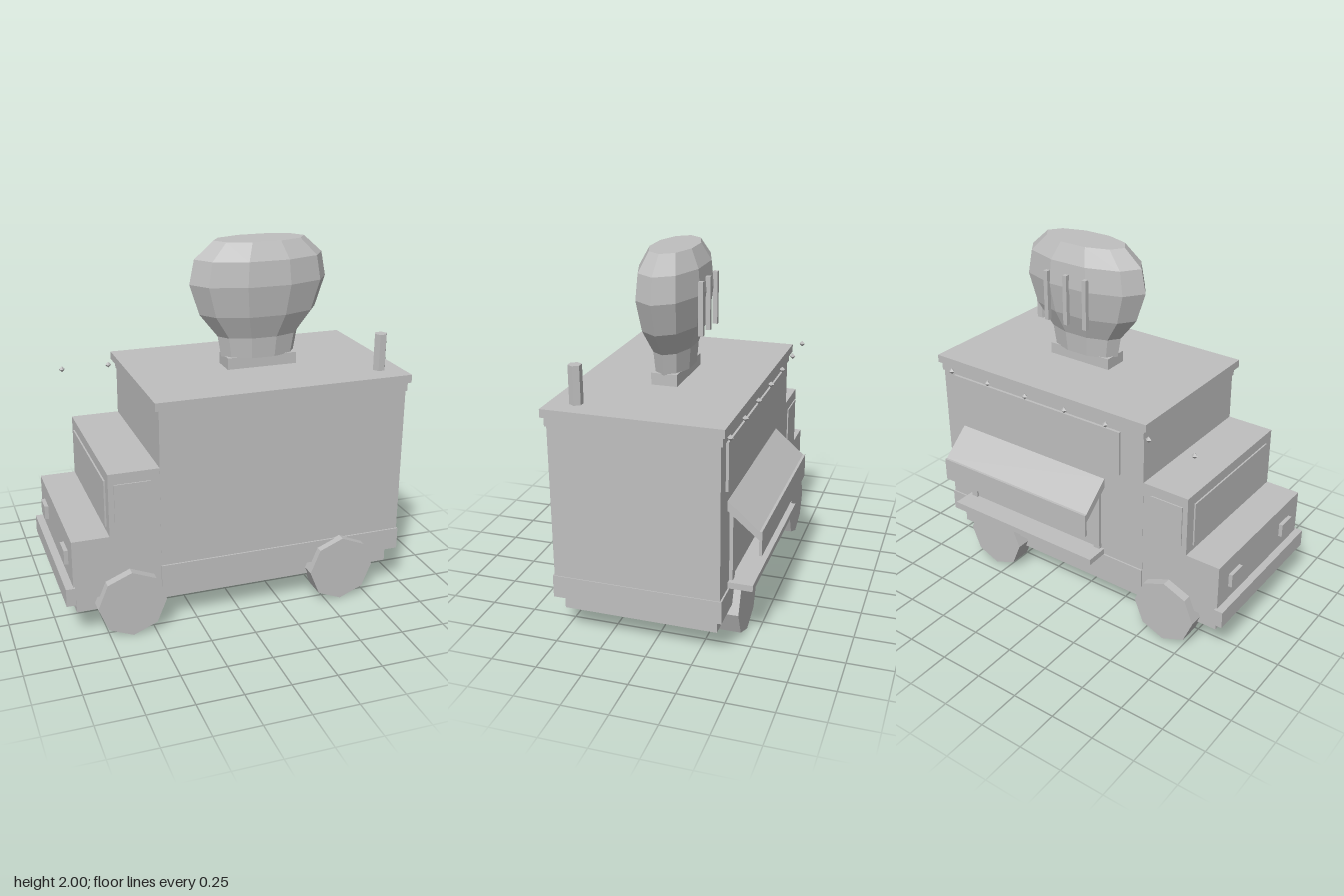
import * as THREE from 'three';

export function createModel() {
  const truck = new THREE.Group();
  truck.name = 'foodTruck';
  const grey = new THREE.MeshStandardMaterial({ color: 0xbfbfbf });
  grey.name = 'plain grey';
  grey.flatShading = true;
  const midZ = 0.065; // centre line of the bodywork

  const add = (name, geometry, x = 0, y = 0, z = 0) => {
    const mesh = new THREE.Mesh(geometry, grey);
    mesh.name = name;
    mesh.position.set(x, y, z);
    truck.add(mesh);
    return mesh;
  };
  // Box given by its limits on each axis
  const box = (name, [x0, x1], [y0, y1], [z0, z1]) =>
    add(name, new THREE.BoxGeometry(x1 - x0, y1 - y0, z1 - z0),
      (x0 + x1) / 2, (y0 + y1) / 2, (z0 + z1) / 2);
  const across = (half) => [midZ - half, midZ + half];

  // Bodywork
  box('chassis', [-0.915, 0.9], [0.15, 0.24], across(0.42));
  box('kitchenBody', [-0.454, 0.949], [0.24, 1.2], across(0.45));
  box('skirt', [-0.454, 0.954], [0.24, 0.365], across(0.459));
  box('roofTrim', [-0.458, 0.954], [1.2, 1.25], across(0.46));
  box('roof', [-0.48, 0.968], [1.25, 1.295], across(0.475));
  box('cab', [-0.73, -0.454], [0.24, 0.93], across(0.449));
  box('hood', [-0.933, -0.73], [0.24, 0.58], across(0.449));
  box('bumper', [-0.975, -0.925], [0.22, 0.32], across(0.465));
  box('windshield', [-0.739, -0.73], [0.61, 0.87], across(0.385));

  // Paired parts on both sides of the centre line
  for (const s of [-1, 1]) {
    const side = (a, b) => [midZ + s * a, midZ + s * b].sort((p, q) => p - q);
    box('cabWindow', [-0.7, -0.505], [0.63, 0.87], side(0.448, 0.456));
    box('headlight', [-0.955, -0.933], [0.4, 0.48], side(0.23, 0.34));
    for (const x of [-0.628, 0.587]) {
      const tire = new THREE.CylinderGeometry(0.188, 0.188, 0.128, 8).rotateX(Math.PI / 2);
      add('wheel', tire, x, 0.189, midZ + s * 0.435);
    }
  }

  // Serving side: sign, hatch, shelf
  box('signPanel', [-0.307, 0.863], [0.93, 1.19], [-0.4, -0.385]);
  box('hatchPanel', [-0.14, 0.77], [0.4, 0.82], [-0.391, -0.384]);
  for (const x of [-0.175, 0.745]) box('hatchPost', [x, x + 0.04], [0.4, 0.83], [-0.404, -0.384]);
  box('hatchTop', [-0.175, 0.785], [0.79, 0.83], [-0.404, -0.384]);
  box('shelf', [-0.195, 0.81], [0.365, 0.4], [-0.517, -0.385]);

  // Sloping awning, extruded along x from its side profile (z, y)
  const profile = new THREE.Shape([[0.383, 0.865], [0.383, 0.81], [0.55, 0.67], [0.55, 0.72]]
    .map(([z, y]) => new THREE.Vector2(z, y)));
  const awning = new THREE.ExtrudeGeometry(profile, { depth: 1.025, bevelEnabled: false });
  add('awning', awning.rotateY(Math.PI / 2), -0.2, 0, 0);
  box('awningValance', [-0.2, 0.825], [0.585, 0.72], [-0.564, -0.549]);

  // String of bulbs under the roof edge
  for (let i = 0; i < 7; i++)
    add('bulb', new THREE.OctahedronGeometry(0.018), -0.77 + i * 0.273, 1.217, -0.408);

  // Hexagonal exhaust pipe
  add('exhaustPipe', new THREE.CylinderGeometry(0.036, 0.036, 0.205, 6).rotateY(Math.PI / 6), 0.842, 1.398, 0.395);

  // Rooftop mascot shape: flattened ten-sided lathe
  box('figureBase', [0.05, 0.455], [1.295, 1.36], [-0.003, 0.14]);
  const rings = [[0, 1.355], [0.215, 1.355], [0.235, 1.47], [0.34, 1.6], [0.397, 1.77],
    [0.37, 1.905], [0.262, 2], [0, 2]].map(([r, y]) => new THREE.Vector2(r, y));
  const figure = new THREE.LatheGeometry(rings, 10, Math.PI / 2).scale(1, 1, 0.455);
  add('roofFigure', figure, 0.25, 0, 0.068);
  for (const x of [0.122, 0.252, 0.382])
    box('figureRib', [x - 0.013, x + 0.013], [1.56, 1.845], [-0.124, -0.098]);

  return truck;
}
